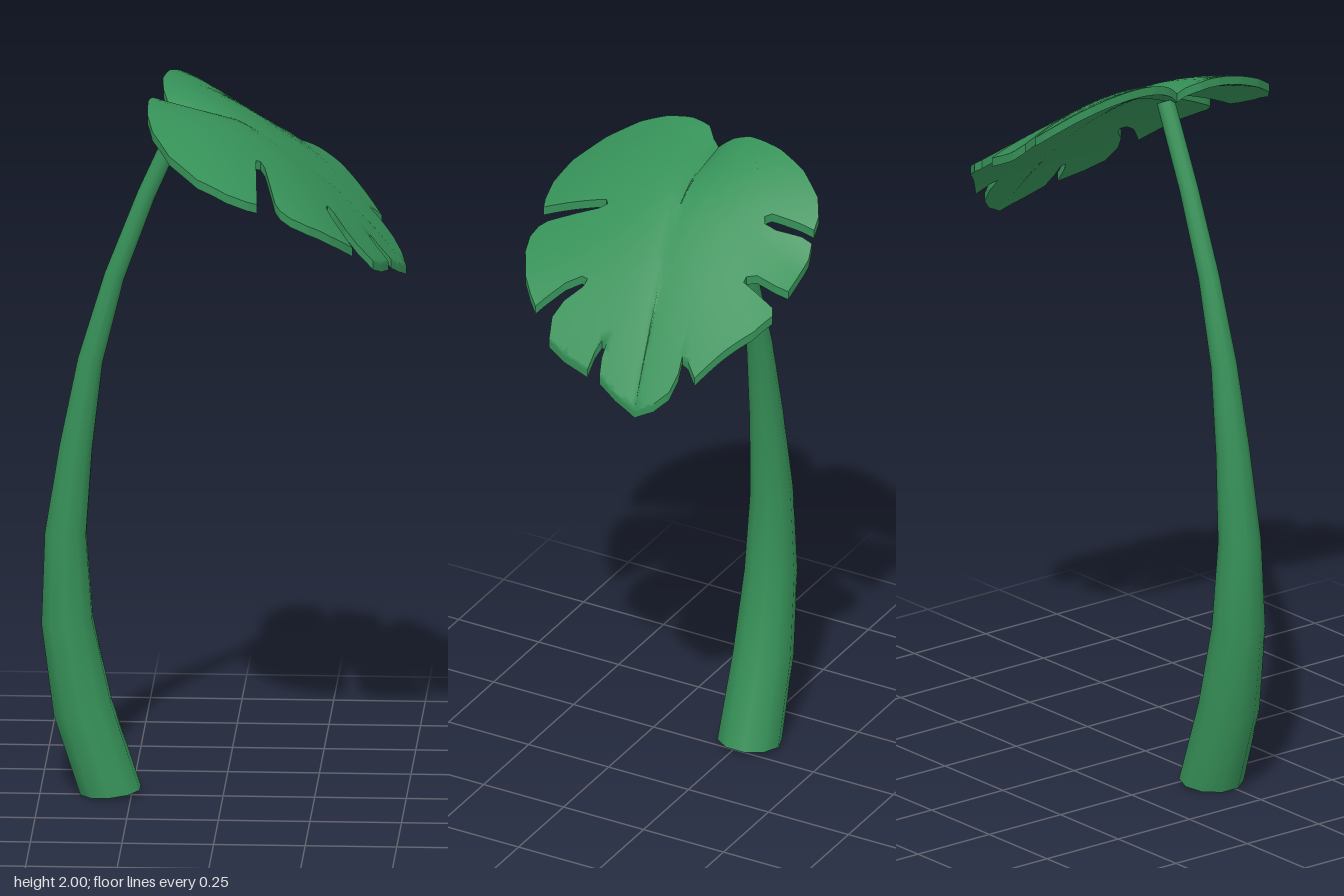
import * as THREE from 'three';
import { toCreasedNormals } from 'three/addons/utils/BufferGeometryUtils.js';

const { lerp, smoothstep, clamp } = THREE.MathUtils;
const green = new THREE.MeshStandardMaterial({ color: 0x369158, side: THREE.DoubleSide });
green.name = 'leafGreen';

// Midrib and the two half outlines, as [x, z] points
const RIB = [[-0.15, -0.01], [0, -0.01], [0.1, -0.02], [0.2, -0.042], [0.3, -0.07], [0.4, -0.09], [0.495, -0.11]];
const LEFT_EDGE = [
  [-0.16, 0.01], [-0.19, 0.04], [-0.2, 0.1], [-0.197, 0.18], [-0.18, 0.25], [-0.13, 0.33], [-0.05, 0.39],
  [0.03, 0.407], [0.085, 0.4], [0.113, 0.39], [0.105, 0.27], [0.1, 0.2], [0.112, 0.19], [0.125, 0.21],
  [0.145, 0.29], [0.16, 0.35], [0.175, 0.37], [0.205, 0.38], [0.25, 0.37], [0.31, 0.335], [0.345, 0.3],
  [0.367, 0.272], [0.35, 0.255], [0.31, 0.21], [0.29, 0.17], [0.293, 0.15], [0.31, 0.155], [0.345, 0.195],
  [0.38, 0.213], [0.42, 0.2], [0.44, 0.14], [0.455, 0.06], [0.42, 0.055], [0.4, 0.045], [0.402, 0.03],
  [0.43, 0.03], [0.46, 0.02], [0.48, -0.04],
];
const RIGHT_EDGE = [
  [-0.165, -0.05], [-0.17, -0.1], [-0.155, -0.2], [-0.125, -0.29], [-0.08, -0.36], [-0.04, -0.385],
  [-0.005, -0.39], [0, -0.35], [0.015, -0.27], [0.03, -0.255], [0.045, -0.265], [0.045, -0.3],
  [0.025, -0.37], [0.025, -0.4], [0.06, -0.41], [0.165, -0.405], [0.17, -0.37], [0.17, -0.31],
  [0.185, -0.285], [0.2, -0.285], [0.21, -0.33], [0.225, -0.39], [0.245, -0.4], [0.3, -0.37],
  [0.36, -0.31], [0.42, -0.255], [0.395, -0.22], [0.39, -0.2], [0.42, -0.205], [0.455, -0.195], [0.48, -0.16],
];
const THICKNESS = 0.025;

function ribZ(x) {
  let i = 0;
  while (i < RIB.length - 2 && x > RIB[i + 1][0]) i++;
  const [[x0, z0], [x1, z1]] = [RIB[i], RIB[i + 1]];
  return z0 + (z1 - z0) * clamp((x - x0) / (x1 - x0), 0, 1);
}

// Height of the blade: a drooping spine, arched sideways but flat at the tip,
// rolled a little at the base, with a valley along the rib
function bladeY(x, z) {
  const spine = 1.942 - 0.51 * x - 0.7 * x * x - 0.25 * x * x * x;
  const arch = lerp(0.58, 0.1, smoothstep(x, 0.05, 0.4));
  const roll = lerp(0.11, 0.02, smoothstep(x, -0.2, 0.1));
  const depth = lerp(0.05, 0.008, smoothstep(x, -0.17, 0.08));
  const valley = depth * Math.exp(-Math.abs(z - ribZ(x)) / 0.06);
  return spine - arch * z * z - roll * z - valley;
}

// Split each triangle into four
function subdivide(tris) {
  return tris.flatMap(([a, b, c]) => {
    const mid = (p, q) => p.clone().add(q).multiplyScalar(0.5);
    const ab = mid(a, b), bc = mid(b, c), ca = mid(c, a);
    return [[a, ab, ca], [ab, b, bc], [ca, bc, c], [ab, bc, ca]];
  });
}

function halfBlade(edge) {
  const outline = [...edge, ...[...RIB].reverse()];
  const shape = new THREE.Shape(outline.map(([x, z]) => new THREE.Vector2(x, -z)));
  const flat = new THREE.ExtrudeGeometry(shape, { depth: THICKNESS, bevelEnabled: false });
  flat.rotateX(-Math.PI / 2);
  const p = flat.attributes.position;
  const at = (i) => new THREE.Vector3().fromBufferAttribute(p, i);
  let tris = [];
  for (let i = 0; i < p.count; i += 3) tris.push([at(i), at(i + 1), at(i + 2)]);
  // Drop the inner walls where the halves join, keeping the top and bottom faces
  const isFlat = ([a, b, c]) => Math.abs(a.y - b.y) + Math.abs(b.y - c.y) < 1e-4;
  tris = tris.filter((t) => isFlat(t) || !t.every((v) => Math.abs(v.z - ribZ(v.x)) < 1e-4));
  for (let k = 0; k < 3; k++) tris = subdivide(tris);
  return tris.flat();
}

function makeLeaf() {
  const points = [...halfBlade(LEFT_EDGE), ...halfBlade(RIGHT_EDGE)]
    .map((v) => new THREE.Vector3(v.x, v.y - THICKNESS + bladeY(v.x, v.z), v.z));
  return toCreasedNormals(new THREE.BufferGeometry().setFromPoints(points), 0.8);
}

// Tapered tube along a bowed curve, open at the foot
function makeStem() {
  const path = [[-0.308, 0.013], [-0.385, 0.25], [-0.427, 0.5], [-0.43, 0.75], [-0.4, 1.0],
    [-0.365, 1.22], [-0.3, 1.46], [-0.21, 1.7], [-0.11, 1.925]];
  const radii = [0.09, 0.084, 0.073, 0.059, 0.047, 0.036, 0.029, 0.026, 0.025];
  const curve = new THREE.CatmullRomCurve3(path.map(([x, y]) => new THREE.Vector3(x, y, -0.018)));
  const sides = 10, rings = radii.length - 1;
  const geo = new THREE.TubeGeometry(curve, rings, 1, sides);
  const p = geo.attributes.position, v = new THREE.Vector3();
  for (let i = 0; i <= rings; i++) {
    const c = curve.getPointAt(i / rings);
    for (let j = 0; j <= sides; j++) {
      const k = i * (sides + 1) + j;
      v.fromBufferAttribute(p, k).sub(c).multiplyScalar(radii[i]);
      if (i === 0) v.y *= 0.3; // nearly level foot
      v.add(c);
      p.setXYZ(k, v.x, v.y, v.z);
    }
  }
  return geo;
}

export function createModel() {
  const group = new THREE.Group();
  group.name = 'leafPlant';
  const add = (name, geo) => {
    const mesh = new THREE.Mesh(geo, green);
    mesh.name = name;
    group.add(mesh);
  };
  add('leafBlade', makeLeaf());
  add('stem', makeStem());
  return group;
}
